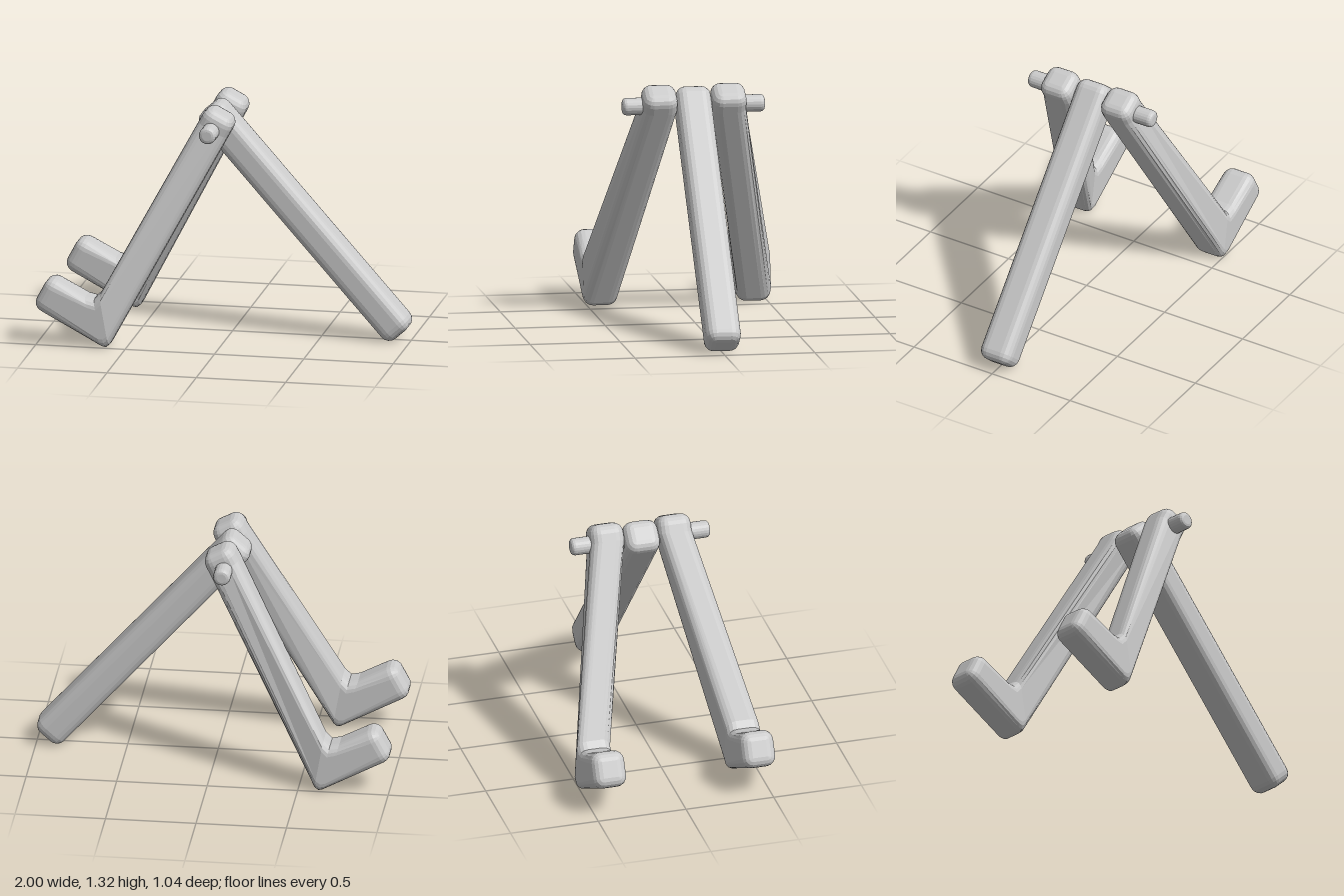
import * as THREE from 'three';

const material = new THREE.MeshStandardMaterial({ color: 0xcccccc, flatShading: true });
const R = 0.055; // edge rounding of every beam
const CORNER = 4; // segments per rounded corner

// One rounded-rectangle loop spanning from point o to point i, centred on z
function section({ o, i, z, half, r }) {
  const mid = o.clone().add(i).multiplyScalar(0.5);
  const e = i.clone().sub(o);
  const h = e.length() / 2;
  e.normalize();
  const loop = [];
  for (let q = 0; q < 4; q++) {
    const sx = q === 0 || q === 3 ? 1 : -1;
    const sz = q < 2 ? 1 : -1;
    for (let k = 0; k <= CORNER; k++) {
      const t = (q + k / CORNER) * Math.PI / 2;
      const p = sx * (h - r) + r * Math.cos(t);
      loop.push([mid.x + e.x * p, mid.y + e.y * p, z + sz * (half - r) + r * Math.sin(t)]);
    }
  }
  return loop;
}

// Skin the loops and close both ends with a fan
function loft(name, rings) {
  const loops = rings.map(section);
  const n = loops[0].length;
  const pos = loops.flat(2);
  const index = [];
  for (let j = 0; j < loops.length - 1; j++) {
    for (let k = 0; k < n; k++) {
      const a = j * n + k, b = j * n + (k + 1) % n;
      index.push(a, b, b + n, a, b + n, a + n);
    }
  }
  const last = (loops.length - 1) * n;
  for (let k = 1; k < n - 1; k++) {
    index.push(0, k + 1, k, last, last + k, last + k + 1);
  }
  const geo = new THREE.BufferGeometry();
  geo.setAttribute('position', new THREE.Float32BufferAttribute(pos, 3));
  geo.setIndex(index);
  geo.computeVertexNormals();
  const mesh = new THREE.Mesh(geo, material);
  mesh.name = name;
  return mesh;
}

// Rounded end: loops shrinking towards the tip; at(s, side, inset) gives the edge points
function cap(at, tip, dir, z, half) {
  const rings = [];
  for (let k = 0; k <= CORNER; k++) {
    const t = k / CORNER * Math.PI / 2;
    const inset = R * 0.98 * (1 - Math.cos(t));
    const s = tip - dir * R * (1 - Math.sin(t));
    rings.push({ o: at(s, 0, inset), i: at(s, 1, inset), z, half: half - inset, r: R - inset });
  }
  return rings;
}

// Straight back support
function support() {
  const d = new THREE.Vector2(0.662, -0.749), n = new THREE.Vector2(0.749, 0.662);
  const at = (s, side, inset) => d.clone().multiplyScalar(s)
    .addScaledVector(n, side ? 0.837 - inset : 0.653 + inset);
  return loft('centreSupport', [
    ...cap(at, -1.045, -1, 0, 0.098).reverse(),
    ...cap(at, 0.59, 1, 0, 0.098),
  ]);
}

// Splayed leg with an upturned foot
function leg(name, sign) {
  const half = 0.096, zFoot = 0.425 * sign, zTop = 0.192 * sign;
  const u = new THREE.Vector2(0.469, 0.883), v = new THREE.Vector2(-0.883, 0.469);
  const P = (a, b) => new THREE.Vector2(-0.61, -0.01).addScaledVector(u, a).addScaledVector(v, b);
  const footAt = (s, side, inset) => P(side ? 0.21 - inset : 0.01 + inset, s);
  const legAt = (s, side, inset) => P(s, side ? 0.18 - inset : inset);
  // elbow: tight outer corner, filleted inner corner
  const elbow = [
    [0.01, 0.03, 0.21, 0.245], [0.016, 0.01, 0.225, 0.195], [0.04, 0, 0.27, 0.18],
  ].map(([a, b, c, e]) => ({ o: P(a, b), i: P(c, e), z: zFoot, half, r: R }));
  return loft(name, [
    ...cap(footAt, 0.475, 1, zFoot, half).reverse(),
    ...elbow,
    { o: P(1.34, 0), i: P(1.34, 0.18), z: zTop, half, r: R },
    ...cap(legAt, 1.44, 1, zTop, half),
  ]);
}

// Hinge pin through the three beams
function pin() {
  const r = 0.048, l = 0.395, e = 0.022;
  const pts = [new THREE.Vector2(0, -l)];
  for (let k = 0; k <= 3; k++) {
    const t = k / 3 * Math.PI / 2;
    pts.push(new THREE.Vector2(r - e + e * Math.sin(t), -l + e - e * Math.cos(t)));
  }
  const other = pts.map((p) => new THREE.Vector2(p.x, -p.y)).reverse();
  const mesh = new THREE.Mesh(new THREE.LatheGeometry([...pts, ...other], 20), material);
  mesh.rotation.x = Math.PI / 2;
  mesh.position.set(-0.065, 1.213, 0);
  mesh.name = 'hingePin';
  return mesh;
}

export function createModel() {
  const group = new THREE.Group();
  group.name = 'foldingStand';
  group.add(support(), leg('frontLeg', 1), leg('backLeg', -1), pin());
  return group;
}
